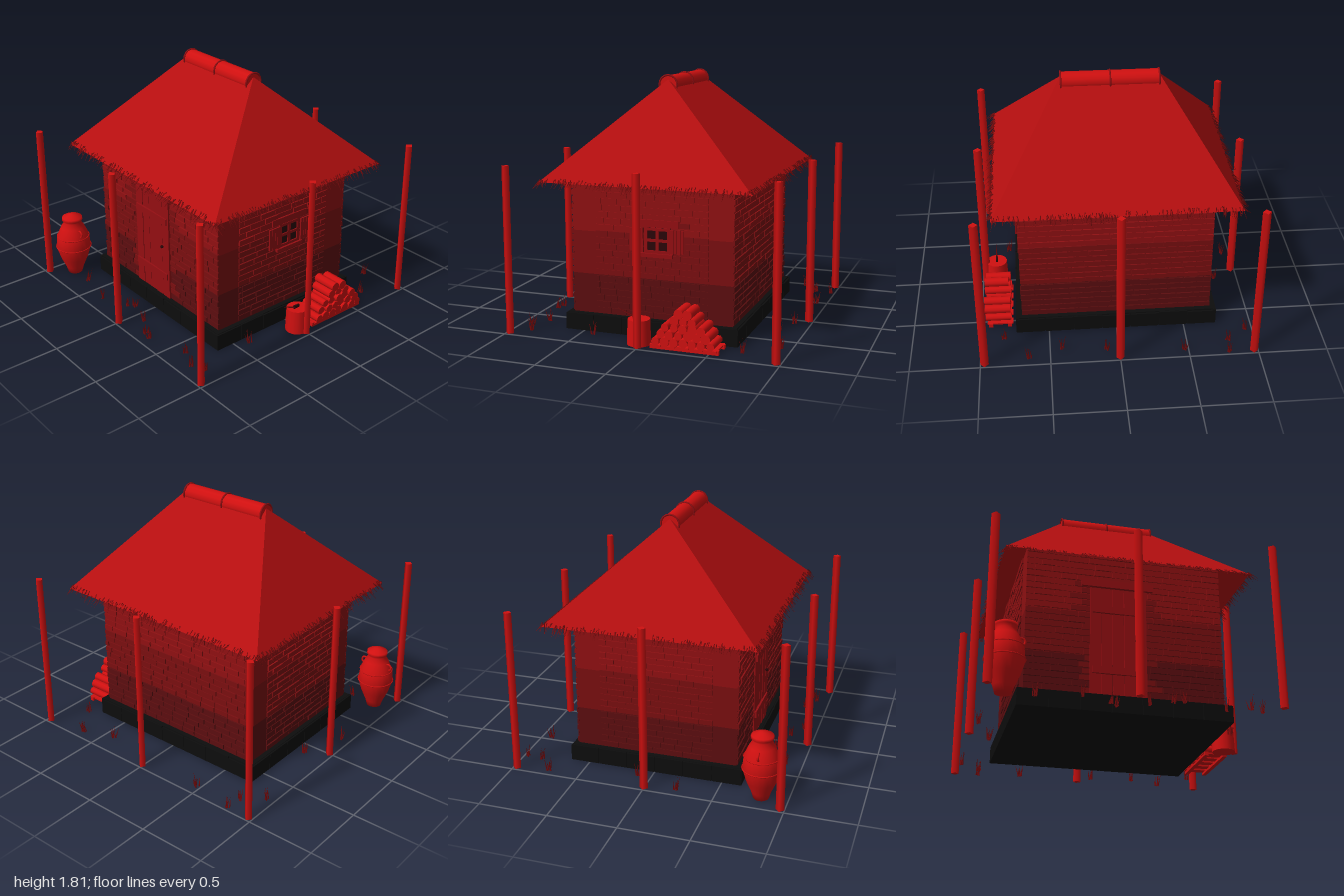
import * as THREE from 'three';
import { mergeGeometries } from 'three/addons/utils/BufferGeometryUtils.js';

const mat = (name, color, extra = {}) => {
  const m = new THREE.MeshStandardMaterial({ color, ...extra });
  m.name = name;
  return m;
};

export function createModel() {
  const root = new THREE.Group();
  root.name = 'hut';
  const red = mat('brightRed', 0xd01010);
  const thatch = mat('thatchRed', 0xb40e0f, { side: THREE.DoubleSide });
  const straw = mat('strawRed', 0x7c0a0c, { side: THREE.DoubleSide });
  const wood = mat('doorWood', 0x940e12);
  const dark = mat('darkGap', 0x2a0608);
  const stone = mat('blackStone', 0x0d0d0d);
  const tones = [mat('wallLow', 0x5c0d0f), mat('wallMid', 0x7a0e10), mat('wallHigh', 0x901012)];

  let seed = 7;
  const rnd = (a = 0, b = 1) => {
    seed = (seed * 16807) % 2147483647;
    return a + (b - a) * (seed / 2147483647);
  };
  const add = (name, geo, m, x = 0, y = 0, z = 0, parent = root) => {
    const mesh = new THREE.Mesh(geo, m);
    mesh.name = name;
    mesh.position.set(x, y, z);
    parent.add(mesh);
    return mesh;
  };
  // box given by its two opposite corners
  const span = (x0, x1, y0, y1, z0, z1) =>
    new THREE.BoxGeometry(x1 - x0, y1 - y0, z1 - z0).translate((x0 + x1) / 2, (y0 + y1) / 2, (z0 + z1) / 2);
  const up = new THREE.Vector3(0, 1, 0);
  // thin pointed blade from a base point along a direction
  const blade = (p, dir, len, r) => {
    const g = new THREE.ConeGeometry(r, len, 3, 1, true).translate(0, len / 2, 0);
    g.applyQuaternion(new THREE.Quaternion().setFromUnitVectors(up, dir.normalize()));
    return g.translate(p.x, p.y, p.z);
  };

  // Stone foundation with facing blocks
  add('foundation', span(-0.73, 0.73, 0, 0.125, -0.63, 0.63), stone);
  const blocks = [];
  for (const s of [-1, 1]) {
    for (let i = 0; i < 7; i++) {
      const x = -0.74 + i * 1.48 / 7;
      blocks.push(span(x + 0.002, x + 0.209, 0, rnd(0.112, 0.124), s * 0.632 - 0.01, s * 0.632 + 0.01));
    }
    for (let i = 0; i < 6; i++) {
      const z = -0.64 + i * 1.28 / 6;
      blocks.push(span(s * 0.732 - 0.01, s * 0.732 + 0.01, 0, rnd(0.112, 0.124), z + 0.002, z + 0.211));
    }
  }
  add('foundationBlocks', mergeGeometries(blocks), stone);

  // Wall core in three tonal bands
  const levels = [0.125, 0.41, 0.72, 1.2];
  tones.forEach((m, i) => add('wallBand', span(-0.695, 0.695, levels[i], levels[i + 1], -0.595, 0.595), m));

  // Bricks in running bond, leaving the door and window clear
  const bricks = [[], [], []];
  const inHole = (u0, u1, y, h) => h && u1 > h[0] && u0 < h[1] && y > h[2] && y < h[3];
  const layBricks = (half, place, hole) => {
    for (let row = 0; row < 23; row++) {
      const y = 0.135 + row * 0.0465;
      let u = -half;
      let w = row % 2 ? 0.06 : rnd(0.1, 0.14);
      while (u < half - 0.01) {
        let end = Math.min(u + w, half);
        if (half - end < 0.03) end = half;
        if (!inHole(u, end, y + 0.02, hole)) {
          const t = y < 0.4 ? 0 : y < 0.7 ? 1 : 2;
          bricks[t].push(place(u + 0.004, end - 0.004, y, y + 0.036, rnd(0.004, 0.012)));
        } else if (u < hole[0] - 0.03) {
          bricks[1].push(place(u + 0.004, hole[0], y, y + 0.036, 0.008));
        } else if (end > hole[1] + 0.03) {
          bricks[1].push(place(hole[1], end - 0.004, y, y + 0.036, 0.008));
        }
        u = end;
        w = rnd(0.1, 0.15);
      }
    }
  };
  layBricks(0.7, (a, b, y0, y1, d) => span(a, b, y0, y1, 0.59, 0.595 + d), [-0.25, 0.15, 0.1, 0.98]);
  layBricks(0.7, (a, b, y0, y1, d) => span(a, b, y0, y1, -0.595 - d, -0.59));
  layBricks(0.42, (a, b, y0, y1, d) => span(0.69, 0.695 + d, y0, y1, a, b), [-0.15, 0.055, 0.58, 0.82]);
  layBricks(0.42, (a, b, y0, y1, d) => span(-0.695 - d, -0.69, y0, y1, a, b));
  bricks.forEach((list, i) => add('bricks', mergeGeometries(list), tones[i]));

  // Plank door with battens, lintel and handle
  const door = new THREE.Group();
  door.name = 'door';
  root.add(door);
  for (let i = 0; i < 5; i++) {
    const x = -0.25 + i * 0.08;
    add('doorPlank', span(x + 0.002, x + 0.078, 0.13, rnd(0.9, 0.925), 0.59, rnd(0.606, 0.612)), wood, 0, 0, 0, door);
  }
  for (const y of [0.28, 0.73]) add('doorBatten', span(-0.235, 0.13, y, y + 0.05, 0.6, 0.622), wood, 0, 0, 0, door);
  add('doorLintel', span(-0.31, 0.2, 0.93, 0.985, 0.59, 0.618), wood, 0, 0, 0, door);
  add('doorHandle', new THREE.SphereGeometry(0.012, 8, 6), dark, 0.075, 0.54, 0.62, door);

  // Shuttered window on the left wall
  const win = new THREE.Group();
  win.name = 'window';
  win.position.z = -0.048;
  root.add(win);
  const winBox = (name, m, ...s) => add(name, span(...s), m, 0, 0, 0, win);
  winBox('windowPane', dark, 0.69, 0.7, 0.6, 0.78, -0.095, 0.095);
  winBox('windowLintel', wood, 0.69, 0.712, 0.785, 0.835, -0.16, 0.165);
  winBox('windowSill', wood, 0.69, 0.725, 0.573, 0.6, -0.115, 0.125);
  for (const s of [-1, 1]) {
    winBox('windowFrame', wood, 0.69, 0.71, 0.6, 0.785, s * 0.085 - 0.011, s * 0.085 + 0.011);
    winBox('windowRail', wood, 0.69, 0.71, 0.69 + s * 0.08 - 0.01, 0.69 + s * 0.08 + 0.01, -0.095, 0.095);
    for (let i = 0; i < 4; i++) {
      const z = s * (0.112 + i * 0.025);
      winBox('shutterSlat', wood, 0.71, 0.722, 0.605 + (i % 2) * 0.006, 0.775, z - 0.0115, z + 0.0115);
    }
  }
  winBox('windowMullion', wood, 0.69, 0.708, 0.6, 0.78, -0.012, 0.012);
  winBox('windowCrossbar', wood, 0.69, 0.708, 0.68, 0.7, -0.095, 0.095);

  // Hipped thatch roof
  const ex = 0.87, ez = 0.77, ey = 1.08, rx = 0.35, ry = 1.775;
  const A = [-ex, ey, ez], B = [ex, ey, ez], C = [ex, ey, -ez], D = [-ex, ey, -ez];
  const L = [-rx, ry, 0], R = [rx, ry, 0];
  const roof = new THREE.BufferGeometry();
  roof.setAttribute('position', new THREE.Float32BufferAttribute(
    [A, B, R, A, R, L, B, C, R, C, D, L, C, L, R, D, A, L].flat(), 3));
  roof.computeVertexNormals();
  add('roof', roof, thatch);

  // Straw fringe along the four eaves
  const tufts = [];
  for (const s of [-1, 1]) {
    for (let i = 0; i < 170; i++) {
      const k = rnd(0, 0.03);
      tufts.push(blade(new THREE.Vector3(rnd(-ex, ex), ey + k, s * (ez - k * 1.1 + 0.004)),
        new THREE.Vector3(rnd(-0.35, 0.35), -0.75, s * rnd(0.5, 1)), rnd(0.04, 0.085), 0.004));
    }
    for (let i = 0; i < 150; i++) {
      const k = rnd(0, 0.03);
      tufts.push(blade(new THREE.Vector3(s * (ex - k * 0.75 + 0.004), ey + k, rnd(-ez, ez)),
        new THREE.Vector3(s * rnd(0.5, 1), -0.75, rnd(-0.35, 0.35)), rnd(0.04, 0.085), 0.004));
    }
  }
  add('eaveFringe', mergeGeometries(tufts), straw);

  // Ridge roll and its bindings
  add('ridgeRoll', new THREE.CylinderGeometry(0.065, 0.065, 0.7, 12).rotateZ(Math.PI / 2), red, 0, 1.738, 0);
  for (const x of [-0.35, 0, 0.35])
    add('ridgeBinding', new THREE.TorusGeometry(0.067, 0.007, 6, 16).rotateY(Math.PI / 2), wood, x, 1.738, 0);

  // Free-standing posts around the plot
  for (const x of [-0.97, 0, 0.97]) for (const z of [-0.97, 0, 0.97])
    if (x || z) add('post', new THREE.CylinderGeometry(0.03, 0.03, 1.2, 4).toNonIndexed(), red, x, 0.6, z);

  // Storage jar
  const jar = new THREE.Group();
  jar.name = 'jar';
  jar.position.set(-0.85, 0, 0.81);
  root.add(jar);
  const profile = [[0, 0], [0.055, 0], [0.07, 0.05], [0.105, 0.13], [0.135, 0.23], [0.125, 0.32], [0.09, 0.4],
    [0.065, 0.44], [0.08, 0.46], [0.078, 0.48], [0.045, 0.49], [0.025, 0.505], [0, 0.507]];
  add('jarBody', new THREE.LatheGeometry(profile.map(p => new THREE.Vector2(...p)), 20), red, 0, 0, 0, jar);
  for (const [r, y] of [[0.135, 0.23], [0.124, 0.32]])
    add('jarBand', new THREE.TorusGeometry(r, 0.005, 5, 24).rotateX(Math.PI / 2), red, 0, y, 0, jar);
  for (const s of [-1, 1])
    add('jarHandle', new THREE.TorusGeometry(0.025, 0.008, 6, 12), red, s * 0.105, 0.365, 0, jar);

  // Firewood stacked on a low rack
  const pile = new THREE.Group();
  pile.name = 'firewood';
  root.add(pile);
  for (const x of [0.79, 0.93]) add('rackRail', span(x - 0.015, x + 0.015, 0, 0.03, -0.57, -0.08), red, 0, 0, 0, pile);
  for (let i = 0; i < 5; i++)
    add('rackSlat', span(0.765, 0.955, 0.018, 0.03, -0.56 + i * 0.1, -0.5 + i * 0.1), red, 0, 0, 0, pile);
  [7, 6, 5, 3, 2].forEach((n, row) => {
    for (let i = 0; i < n; i++) {
      const r = rnd(0.027, 0.036);
      const log = new THREE.CylinderGeometry(r, r, rnd(0.17, 0.2), 9).rotateZ(Math.PI / 2);
      add('log', log, red, rnd(0.865, 0.88), 0.06 + row * 0.05, -0.325 + (i - (n - 1) / 2) * 0.065, pile);
    }
  });

  // Chopping stump with an axe
  add('stump', new THREE.CylinderGeometry(0.078, 0.084, 0.18, 14), red, 0.885, 0.09, 0.02);
  const handle = blade(new THREE.Vector3(0.885, 0.185, 0.04), new THREE.Vector3(0.05, 0.45, 1), 0.16, 0.008);
  add('axeHandle', handle, straw);
  add('axeHead', new THREE.BoxGeometry(0.012, 0.035, 0.05), dark, 0.885, 0.185, 0.03);

  // Grass clumps
  const spots = [[-0.79, -0.97], [-0.8, -0.85], [-0.47, -0.92], [0.09, -0.88], [0.41, -0.84], [0.65, -0.93],
    [-0.95, -0.73], [-0.93, 0.22], [-0.82, -0.1], [-0.65, 0.82], [-0.35, 0.88], [-0.15, 0.8], [-0.1, 0.75],
    [0.11, 0.82], [0.24, 0.9], [0.31, 0.92], [0.62, 0.83], [0.77, 0.9], [0.86, 0.86], [0.83, -0.7], [0.8, 0.4]];
  const grass = [];
  for (const [x, z] of spots) for (let i = 0; i < 7; i++) {
    const p = new THREE.Vector3(x + rnd(-0.015, 0.015), 0, z + rnd(-0.015, 0.015));
    grass.push(blade(p, new THREE.Vector3(rnd(-0.3, 0.3), 1, rnd(-0.3, 0.3)), rnd(0.05, 0.115), 0.006));
  }
  add('grass', mergeGeometries(grass), straw);
  return root;
}
